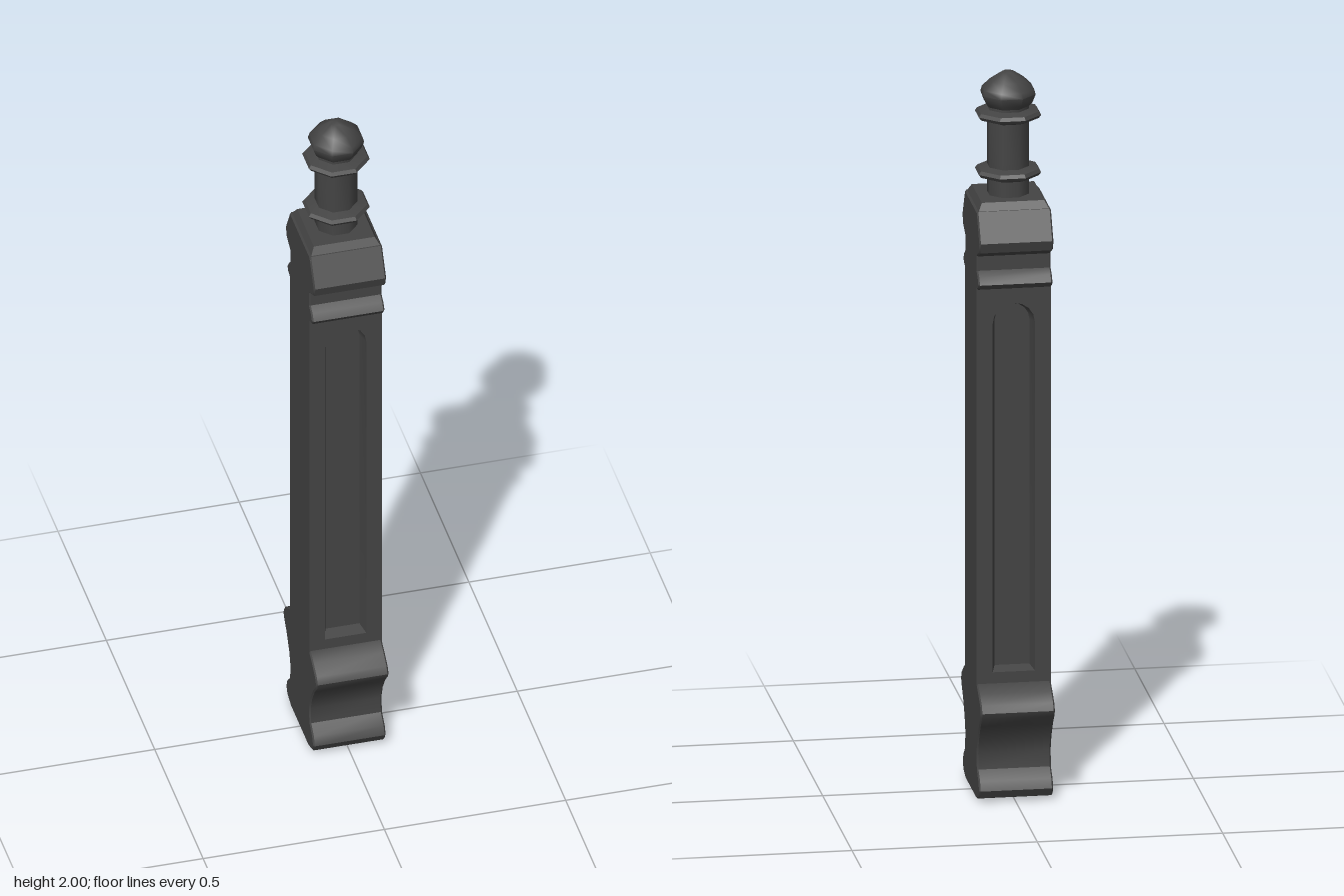
import * as THREE from 'three';
import { toCreasedNormals } from 'three/addons/utils/BufferGeometryUtils.js';

const material = new THREE.MeshStandardMaterial({ color: 0x444444 });
const HALF = 0.1, FACE = 0.099, FLOOR = 0.066;

function mesh(name, geometry, parent) {
  const m = new THREE.Mesh(geometry, material);
  m.name = name;
  parent.add(m);
  return m;
}

// Half profile as [z, y], mirrored in z and extruded across the width
function silhouette() {
  const half = [
    [0.09, 0], [0.13, 0.013], [0.142, 0.035], [0.132, 0.06], [0.104, 0.085], [0.099, 0.13],
    [0.112, 0.17], [0.14, 0.215], [0.166, 0.245], [0.172, 0.26], [0.162, 0.28], [0.13, 0.303], [FACE, 0.322],
    [FLOOR, 0.325], [FLOOR, 1.418],
    [FACE, 1.422], [0.122, 1.43], [0.131, 1.443], [0.118, 1.462], [FACE, 1.475],
    [FACE, 1.515], [0.138, 1.535], [0.147, 1.563], [0.103, 1.64],
  ];
  const pts = [...half, ...half.slice().reverse().map(([z, y]) => [-z, y])];
  return new THREE.Shape(pts.map(([z, y]) => new THREE.Vector2(z, y)));
}

// Round-headed panel outline, shrunk by an inset
function archPoints(inset) {
  const w = 0.057 - inset, bottom = 0.353 + inset, spring = 1.325, rise = 0.056 - inset;
  const pts = [new THREE.Vector2(-w, bottom), new THREE.Vector2(w, bottom)];
  for (let i = 0; i <= 8; i++) {
    const a = (i / 8) * Math.PI;
    pts.push(new THREE.Vector2(w * Math.cos(a), spring + rise * Math.sin(a)));
  }
  return pts;
}

// Sloped lip running from the face down to the panel floor
function lipGeometry() {
  const outer = archPoints(0), inner = archPoints(0.01), pos = [];
  outer.forEach((a, i) => {
    const j = (i + 1) % outer.length, b = outer[j], c = inner[j], d = inner[i];
    const A = [a.x, a.y, FACE], B = [b.x, b.y, FACE], C = [c.x, c.y, FLOOR], D = [d.x, d.y, FLOOR];
    pos.push(...A, ...B, ...C, ...A, ...C, ...D);
  });
  const g = new THREE.BufferGeometry();
  g.setAttribute('position', new THREE.Float32BufferAttribute(pos, 3));
  g.computeVertexNormals();
  return toCreasedNormals(g, 0.6);
}

// Eight-sided turning; radii are measured to the flats
function turning(points, crease) {
  const k = 1 / Math.cos(Math.PI / 8);
  const g = new THREE.LatheGeometry(points.map(([r, y]) => new THREE.Vector2(r * k, y)), 8, Math.PI / 8);
  return toCreasedNormals(g, crease);
}

export function createModel() {
  const root = new THREE.Group();
  root.name = 'newelPost';

  // Body with moulded foot, necking and head; ends slightly chamfered
  const bevel = 0.004;
  const body = new THREE.ExtrudeGeometry(silhouette(), {
    depth: 2 * (HALF - bevel), bevelEnabled: true, bevelThickness: bevel,
    bevelSize: bevel, bevelOffset: -bevel, bevelSegments: 1,
  });
  body.translate(0, 0, -(HALF - bevel)).rotateY(-Math.PI / 2);
  mesh('body', toCreasedNormals(body, 0.6), root);

  // Chamfered top of the head
  const top = new THREE.BoxGeometry(2 * HALF, 0.03, 0.212).toNonIndexed();
  const p = top.attributes.position;
  for (let i = 0; i < p.count; i++) {
    if (p.getY(i) > 0) p.setXYZ(i, Math.sign(p.getX(i)) * 0.084, p.getY(i), Math.sign(p.getZ(i)) * 0.086);
  }
  top.computeVertexNormals();
  mesh('headTop', top, root).position.y = 1.645;

  // Recessed arched panels, front and back
  const plate = new THREE.Shape([[-HALF, 0.315], [HALF, 0.315], [HALF, 1.425], [-HALF, 1.425]]
    .map(([x, y]) => new THREE.Vector2(x, y)));
  plate.holes.push(new THREE.Path(archPoints(0)));
  const start = FLOOR - 0.008;
  const frame = new THREE.ExtrudeGeometry(plate, { depth: FACE - start, bevelEnabled: false });
  frame.translate(0, 0, start);
  const lip = lipGeometry();
  for (const [side, turn] of [['front', 0], ['back', Math.PI]]) {
    const panel = new THREE.Group();
    panel.name = side + 'Panel';
    panel.rotation.y = turn;
    mesh(side + 'Frame', frame, panel);
    mesh(side + 'PanelLip', lip, panel);
    root.add(panel);
  }

  // Finial: neck, two collars and a pointed ball
  const finial = new THREE.Group();
  finial.name = 'finial';
  mesh('neck', turning([[0.053, 1.655], [0.053, 1.91]], 0.9), finial);
  const collar = turning([[0.05, -0.02], [0.078, -0.009], [0.084, 0], [0.078, 0.009], [0.05, 0.016]], 0.6);
  for (const [name, y] of [['lowerCollar', 1.722], ['upperCollar', 1.882]]) {
    mesh(name, collar, finial).position.y = y;
  }
  mesh('ball', turning([
    [0.045, 1.895], [0.062, 1.915], [0.07, 1.938], [0.066, 1.953], [0.045, 1.975], [0.015, 1.997], [0, 2],
  ], 0.9), finial);
  root.add(finial);
  return root;
}
